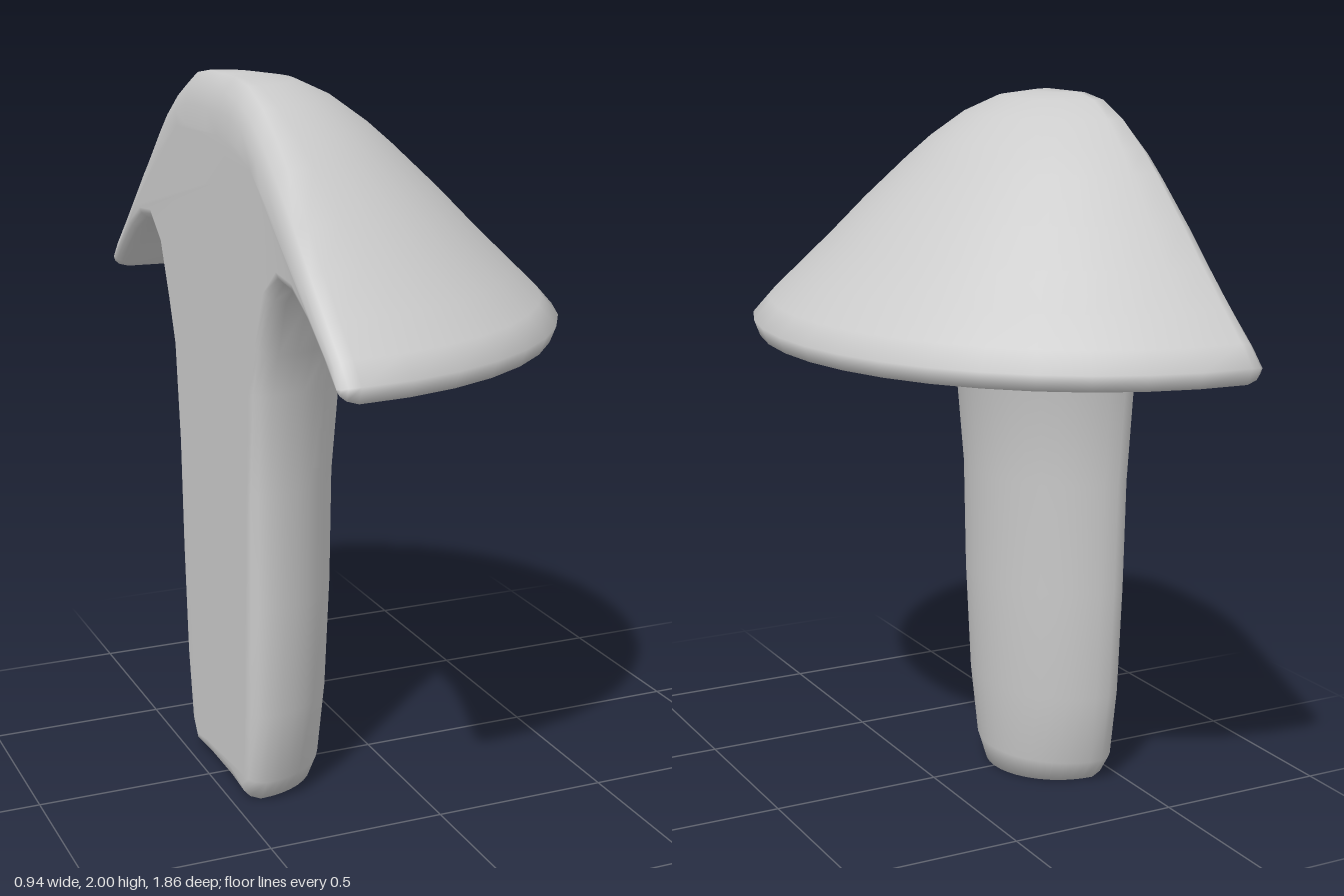
import * as THREE from 'three';
import { mergeVertices } from 'three/addons/utils/BufferGeometryUtils.js';

// Half outline from crown to foot: radius, height, edge rounding, depth scale
const PROFILE = [
  [0, 2, 0.15, 0.957], [0.1, 2, 0.15, 0.957], [0.2, 1.985, 0.14, 0.957], [0.3, 1.94, 0.12, 0.957],
  [0.4, 1.87, 0.1, 0.957], [0.47, 1.81, 0.09, 0.957], [0.6, 1.69, 0.07, 0.957], [0.7, 1.59, 0.055, 0.957],
  [0.8, 1.495, 0.045, 0.957], [0.88, 1.42, 0.035, 0.957], [0.93, 1.365, 0.035, 0.957], [0.912, 1.32, 0.04, 0.957],
  [0.87, 1.335, 0.03, 0.957], [0.8, 1.395, 0.03, 0.957], [0.7, 1.465, 0.035, 0.957], [0.6, 1.515, 0.04, 0.95],
  [0.52, 1.525, 0.04, 0.93], [0.45, 1.47, 0.04, 0.9], [0.39, 1.32, 0.045, 0.87], [0.345, 1.2, 0.045, 0.87],
  [0.318, 0.92, 0.045, 0.87], [0.31, 0.6, 0.045, 0.87], [0.292, 0.28, 0.045, 0.87], [0.26, 0.07, 0.045, 0.9],
  [0.21, 0, 0.05, 1.03], [0.1, 0, 0.06, 1.03], [0, 0, 0.06, 1.03],
];
const STEM_START = 17;   // first profile row that belongs to the stem
const AXIS_X = -0.42;    // axis of the half revolution
const SEGMENTS = 20;
// Steps that round the sweep over into the flat cut: x, share of the rounding
const ROUNDING = [[-0.47, 1], [-0.465, 0.6], [-0.45, 0.25]];

// Moves a profile point inwards, square to the outline
function inset(i, share) {
  const n = PROFILE.length;
  const [r, y, amount] = PROFILE[i];
  if (i === 0) return [0, y - amount * share];
  if (i === n - 1) return [0, y + amount * share];
  const a = PROFILE[i - 1], b = PROFILE[i + 1];
  const tx = b[0] - a[0], ty = b[1] - a[1], len = Math.hypot(tx, ty);
  return [Math.max(0.01, r + (ty / len) * amount * share), y - (tx / len) * amount * share];
}

export function createModel() {
  const n = PROFILE.length;
  const positions = [];

  const roundedColumn = ([x, share], side) => {
    for (let i = 0; i < n; i++) {
      const [r, y] = inset(i, share);
      positions.push(x, y, r * side);
    }
  };

  // Columns: rounded edge, half revolution, rounded edge
  ROUNDING.forEach((step) => roundedColumn(step, 1));
  for (let s = 0; s <= SEGMENTS; s++) {
    const phi = (Math.PI * s) / SEGMENTS;
    for (const [r, y, , depth] of PROFILE) {
      positions.push(AXIS_X + r * depth * Math.sin(phi), y, r * Math.cos(phi));
    }
  }
  [...ROUNDING].reverse().forEach((step) => roundedColumn(step, -1));
  const columns = positions.length / 3 / n;

  const index = [];
  const ranges = [];
  const addRows = (name, from, to) => {
    const start = index.length;
    for (let i = from; i < to; i++) {
      for (let j = 0; j < columns - 1; j++) {
        const a = j * n + i, b = a + 1, c = a + n, d = c + 1;
        index.push(a, b, c, c, b, d);
      }
    }
    ranges.push([name, start, index.length]);
  };
  addRows('cap', 0, STEM_START);
  addRows('stem', STEM_START, n - 1);

  // Flat face of the cut, running around both halves of the outline
  const loop = [];
  for (let i = 0; i < n; i++) loop.push(i);
  for (let i = n - 2; i > 0; i--) loop.push((columns - 1) * n + i);
  loop.reverse();
  const outline = loop.map((v) => new THREE.Vector2(positions[v * 3 + 2], positions[v * 3 + 1]));
  const cutStart = index.length;
  for (const face of THREE.ShapeUtils.triangulateShape(outline, [])) {
    index.push(...face.map((k) => loop[k]));
  }
  ranges.push(['cutFace', cutStart, index.length]);

  // Shared normals keep the parts smooth across their seams
  let whole = new THREE.BufferGeometry();
  whole.setAttribute('position', new THREE.Float32BufferAttribute(positions, 3));
  whole.setIndex(index);
  whole = mergeVertices(whole, 1e-5);
  whole.computeVertexNormals();
  const merged = Array.from(whole.index.array);

  const material = new THREE.MeshStandardMaterial({ color: 0xcccccc, roughness: 0.8 });
  const group = new THREE.Group();
  group.name = 'mushroomHalf';
  for (const [name, start, end] of ranges) {
    const geometry = new THREE.BufferGeometry();
    geometry.setAttribute('position', whole.attributes.position);
    geometry.setAttribute('normal', whole.attributes.normal);
    geometry.setIndex(merged.slice(start, end));
    const mesh = new THREE.Mesh(geometry, material);
    mesh.name = name;
    group.add(mesh);
  }
  return group;
}
